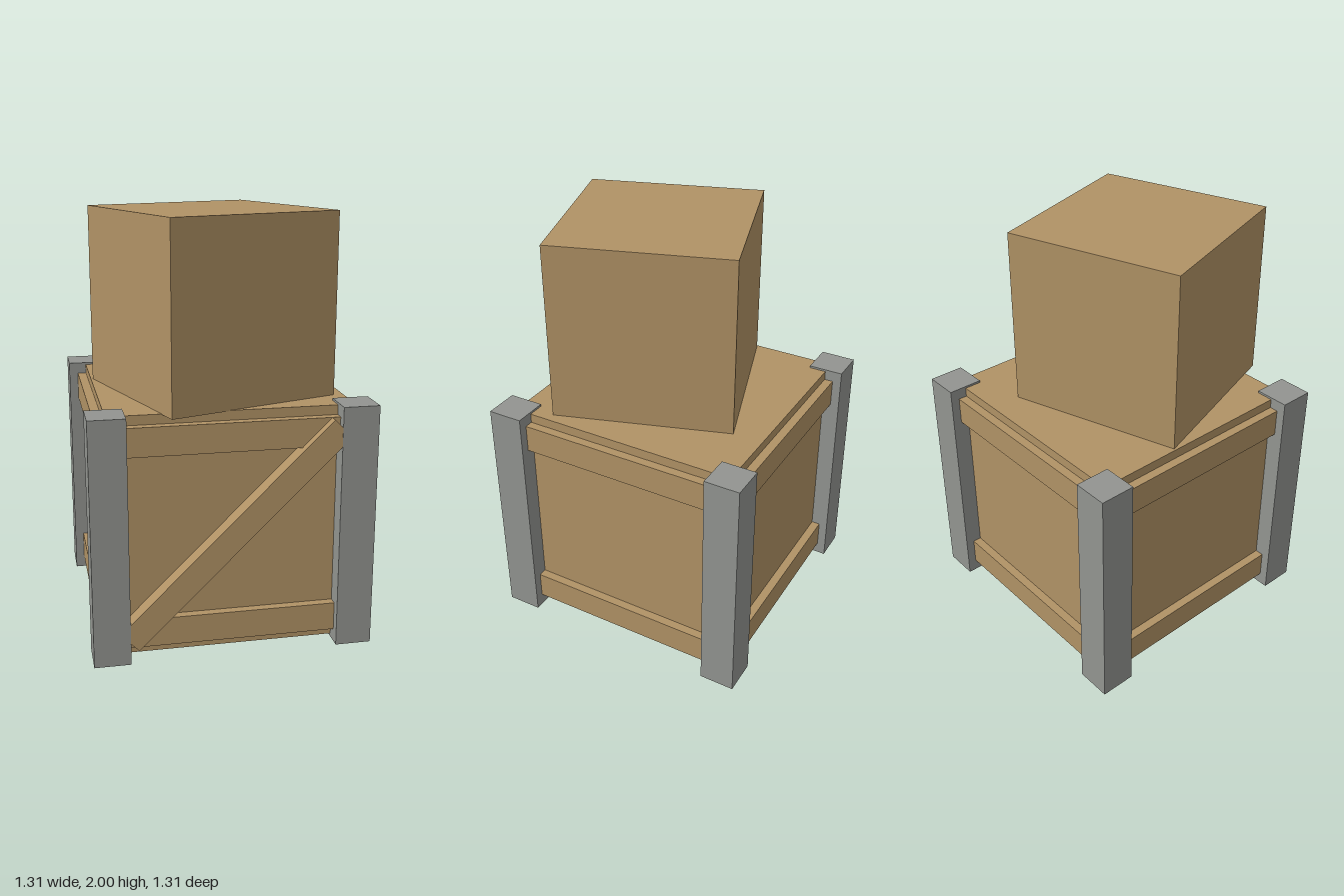
import * as THREE from 'three';

export function createModel() {
  const model = new THREE.Group();
  model.name = 'stackedCrates';
  const wood = new THREE.MeshStandardMaterial({ color: 0xb09265 });
  wood.name = 'wood';
  const metal = new THREE.MeshStandardMaterial({ color: 0x929490 });
  metal.name = 'greyMetal';

  function addBox(parent, name, size, position, material) {
    const mesh = new THREE.Mesh(new THREE.BoxGeometry(...size), material);
    mesh.name = name;
    mesh.position.set(...position);
    parent.add(mesh);
    return mesh;
  }

  // Large crate, very slightly behind the centre
  const crate = new THREE.Group();
  crate.name = 'largeCrate';
  crate.position.z = -0.003;
  model.add(crate);
  addBox(crate, 'crateBody', [1.135, 1.135, 1.135], [0, 0.5825, 0], wood);

  // Corner posts
  for (const x of [-1, 1]) {
    for (const z of [-1, 1]) {
      addBox(crate, 'cornerPost', [0.169, 1.16, 0.17], [x * 0.5685, 0.58, z * 0.568], metal);
    }
  }

  // Upper and lower planks on all four sides, their ends hidden in the posts
  for (let side = 0; side < 4; side++) {
    const planks = new THREE.Group();
    planks.name = 'sidePlanks';
    planks.rotation.y = side * Math.PI / 2;
    crate.add(planks);
    for (const y of [0.1275, 1.0375]) {
      addBox(planks, 'plank', [1.1, 0.135, 0.06], [0, y, 0.58], wood);
    }
  }

  // Diagonal brace across the front
  const brace = addBox(crate, 'frontBrace', [1.366, 0.119, 0.09], [0, 0.5835, 0.606], wood);
  brace.rotation.z = THREE.MathUtils.degToRad(44.4);

  // Small plain crate, turned on top of the large one
  const topCrate = addBox(model, 'smallCrate', [0.853, 0.853, 0.853], [-0.018, 1.5735, 0.115], wood);
  topCrate.rotation.y = THREE.MathUtils.degToRad(18.4);

  return model;
}
